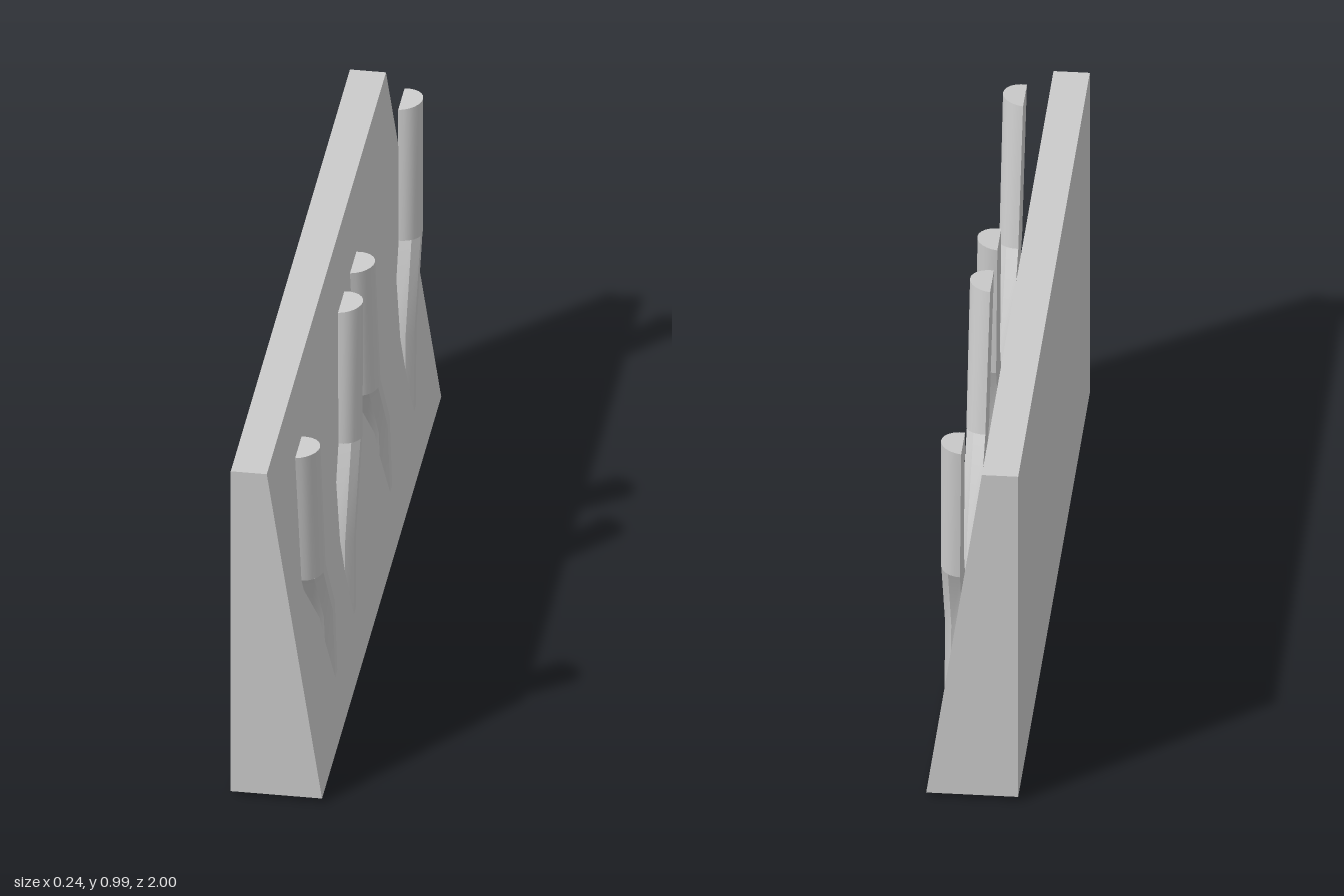
import * as THREE from 'three';
import { toCreasedNormals } from 'three/addons/utils/BufferGeometryUtils.js';

const material = new THREE.MeshStandardMaterial({ color: 0xcccccc });
const HALF_WIDTH = 0.054;

// Half-round ring: flat side towards -x, slightly mitred by tilt
function ring([y, z, tilt], segments) {
  const points = [];
  const backX = 0.05 - 0.015 * y;
  const depth = 0.05 + 0.007 * y;
  for (let i = 0; i <= segments; i++) {
    const a = -Math.PI / 2 + (Math.PI * i) / segments;
    const dz = HALF_WIDTH * Math.sin(a);
    const lift = y > 0.9 ? 0.006 * Math.cos(a) : 0;
    points.push([backX + depth * Math.cos(a), y + tilt * dz + lift, z + dz]);
  }
  return points;
}

// Loft through half-round rings listed from top to bottom, with closed ends
function halfRoundBar(stations, segments) {
  const rings = stations.map((s) => ring(s, segments));
  const positions = [];
  const tri = (...corners) => corners.forEach((p) => positions.push(...p));
  const n = segments + 1;
  for (let r = 0; r < rings.length - 1; r++) {
    const upper = rings[r], lower = rings[r + 1];
    for (let i = 0; i < n; i++) {
      const j = (i + 1) % n;
      tri(lower[i], upper[i], lower[j]);
      tri(upper[i], upper[j], lower[j]);
    }
  }
  const top = rings[0], bottom = rings[rings.length - 1];
  for (let i = 1; i < segments; i++) {
    tri(top[0], top[i + 1], top[i]);
    tri(bottom[0], bottom[i], bottom[i + 1]);
  }
  const geometry = new THREE.BufferGeometry();
  geometry.setAttribute('position', new THREE.Float32BufferAttribute(positions, 3));
  return toCreasedNormals(geometry, 0.5);
}

function addMesh(parent, name, geometry) {
  const mesh = new THREE.Mesh(geometry, material);
  mesh.name = name;
  parent.add(mesh);
}

export function createModel() {
  const model = new THREE.Group();
  model.name = 'wedgePanelWithBars';

  // Long panel with a sloping face
  const profile = new THREE.Shape([
    new THREE.Vector2(-0.12, 0.013),
    new THREE.Vector2(0.118, 0.013),
    new THREE.Vector2(-0.026, 0.98),
    new THREE.Vector2(-0.12, 0.98),
  ]);
  const panel = new THREE.ExtrudeGeometry(profile, { depth: 2, bevelEnabled: false });
  panel.translate(0, 0, -1);
  addMesh(model, 'wedgePanel', panel);

  // Bent bars sinking into the slope: stations are [y, z, tilt]
  const leaningBack = [[0.985, 0.865, 0], [0.585, 0.797, -0.2], [0.38, 0.65, -0.2], [0, 0.6, 0]];
  const leaningFront = [[0.988, 0.147, 0], [0.605, 0.175, 0.1], [0.38, 0.293, 0.1], [0, 0.32, 0]];
  const bars = [[leaningBack, 0], [leaningFront, 0], [leaningBack, -0.92], [leaningFront, -1.01]];
  bars.forEach(([path, offset], i) => {
    const bar = new THREE.Group();
    bar.name = `bentBar${i + 1}`;
    bar.position.z = offset;
    addMesh(bar, 'upperBar', halfRoundBar(path.slice(0, 2), 12));
    addMesh(bar, 'lowerBar', halfRoundBar(path.slice(1), 5));
    model.add(bar);
  });

  return model;
}
